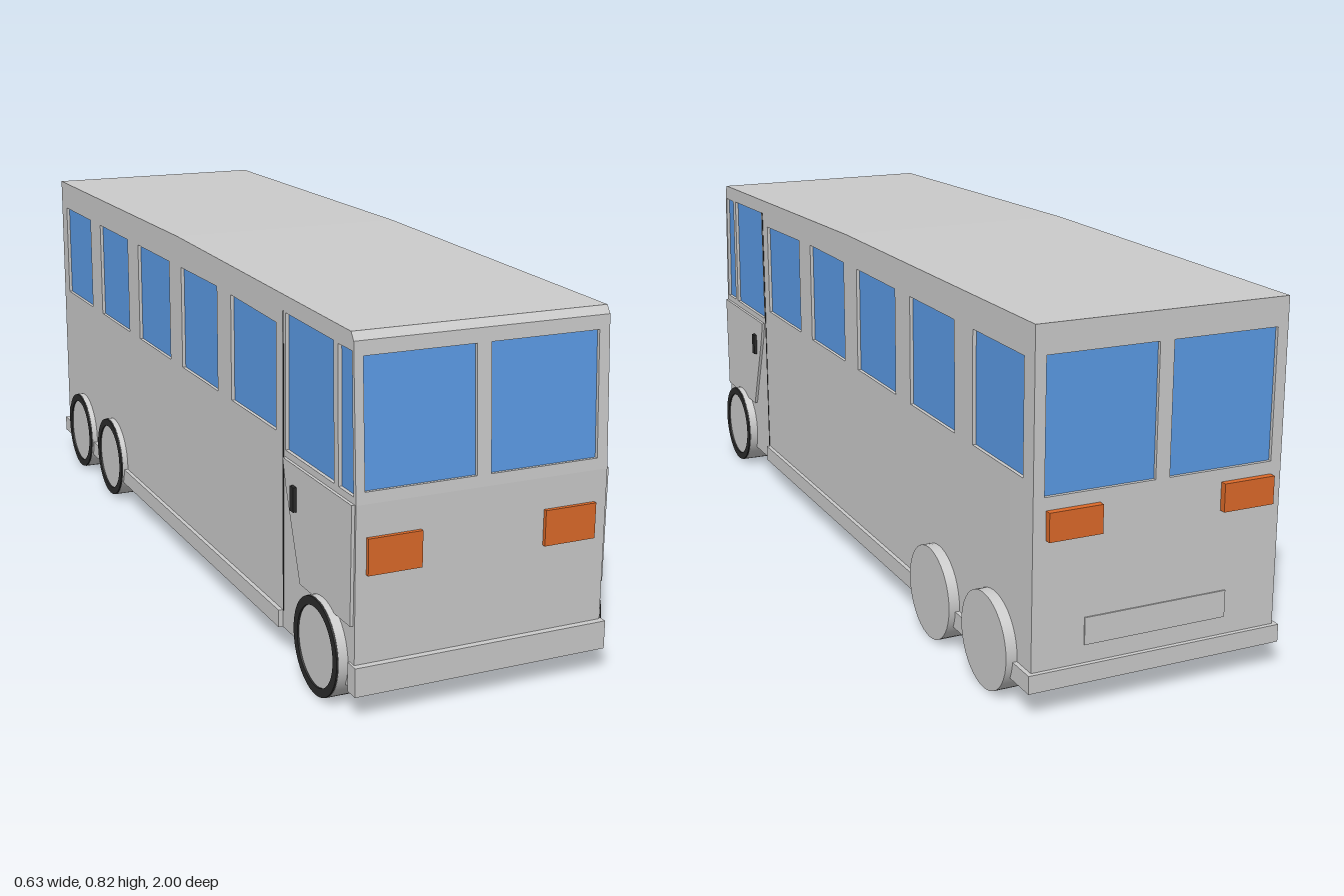
import * as THREE from 'three';

const T = 0.012; // wall thickness
const HALF = 0.29; // half body width
const mat = (color) => new THREE.MeshStandardMaterial({ color, flatShading: true });
const grey = mat(0xcccccc), blue = mat(0x5b9be6), orange = mat(0xdd6a2a), dark = mat(0x2b2b2b);
const smoothGrey = new THREE.MeshStandardMaterial({ color: 0xcccccc });

const poly = (pts) => new THREE.Shape(pts.map(([x, y]) => new THREE.Vector2(x, y)));
const rect = (a, b, lo, hi) => [[a, lo], [b, lo], [b, hi], [a, hi]];
const extrude = (shape, depth) =>
  new THREE.ExtrudeGeometry(shape, { depth, bevelEnabled: false, curveSegments: 32 });
// Extrude a (z, y) outline so that it spans x0..x1
const extrudeSide = (shape, x0, x1) => extrude(shape, x1 - x0).rotateY(-Math.PI / 2).translate(x1, 0, 0);

function holed(outline, holes) {
  const s = poly(outline);
  holes.forEach((h) => s.holes.push(new THREE.Path(h.map(([x, y]) => new THREE.Vector2(x, y)))));
  return s;
}

export function createModel() {
  const bus = new THREE.Group();
  bus.name = 'bus';
  const add = (name, geo, material = grey, parent = bus) => {
    const m = new THREE.Mesh(geo, material);
    m.name = name;
    parent.add(m);
    return m;
  };
  const box = (name, x0, x1, y0, y1, z0, z1, material) =>
    add(name, new THREE.BoxGeometry(x1 - x0, y1 - y0, z1 - z0)
      .translate((x0 + x1) / 2, (y0 + y1) / 2, (z0 + z1) / 2), material);

  // Core with roof and floor, behind the outer wall panels
  add('bodyCore', extrudeSide(poly([
    [-0.985 + T, 0.06], [0.985 - T, 0.06], [0.985 - T, 0.455], [0.955, 0.78], [0.967, 0.78],
    [0.955, 0.797], [0, 0.82], [-0.985 + T, 0.82],
  ]), -HALF + T, HALF - T));

  // Side walls with window openings
  const sideOutline = [
    [-0.985, 0.06], [0.985, 0.06], [0.985, 0.455], [0.967, 0.78], [0.955, 0.797], [0, 0.82], [-0.985, 0.82],
  ];
  const sideWindows = [
    [[0.34, 0.5], [0.595, 0.5], [0.595, 0.737], [0.34, 0.745]],
    rect(0.02, 0.255, 0.5, 0.748), rect(-0.3, -0.065, 0.5, 0.748),
    rect(-0.62, -0.385, 0.5, 0.748), rect(-0.94, -0.71, 0.5, 0.748),
    [[0.645, 0.47], [0.885, 0.47], [0.877, 0.762], [0.645, 0.768]],
    [[0.905, 0.47], [0.973, 0.47], [0.96, 0.76], [0.898, 0.76]],
  ];
  const doorPanel = [
    [0.645, 0.455], [0.66, 0.4], [0.735, 0.2], [0.978, 0.2], [0.98, 0.455],
  ];
  for (const s of [1, -1]) {
    const side = s > 0 ? 'left' : 'right';
    const slab = (name, shape, a, b, material) =>
      add(name, extrudeSide(shape, Math.min(s * a, s * b), Math.max(s * a, s * b)), material);
    slab(side + 'Wall', holed(sideOutline, sideWindows), HALF - T, HALF);
    sideWindows.forEach((w) => slab(side + 'Window', poly(w), HALF - T, HALF - T + 0.004, blue));
    // Door panel, its rear seam, handle and skirt
    slab(side + 'DoorPanel', poly(doorPanel), HALF - 0.002, HALF + 0.007);
    slab(side + 'DoorSeam', poly(rect(0.632, 0.636, 0.1, 0.77)), HALF - 0.002, HALF + 0.001, dark);
    slab(side + 'DoorHandle', poly(rect(0.7, 0.718, 0.355, 0.41)), HALF, HALF + 0.015, dark);
    slab(side + 'Skirt', poly(rect(-0.985, 0.63, 0.06, 0.1)), HALF - 0.002, HALF + 0.01);
  }

  // Front: flat lower panel and leaning windscreen panel
  box('frontPanel', -HALF + T, HALF - T, 0.06, 0.455, 0.985 - T, 0.985);
  const screen = new THREE.Group();
  screen.name = 'windscreen';
  screen.position.set(0, 0.455, 0.985);
  screen.rotation.x = -Math.atan2(0.018, 0.325);
  bus.add(screen);
  const screenPanes = [rect(-0.27, -0.02, 0.025, 0.295), rect(0.013, 0.265, 0.025, 0.295)];
  add('windscreenFrame', extrude(holed(rect(-HALF + T, HALF - T, 0, 0.3255), screenPanes), T).translate(0, 0, -T), grey, screen);
  screenPanes.forEach((p) => add('windscreenPane', extrude(poly(p), 0.004).translate(0, 0, -T), blue, screen));

  // Rear panel, windows and plate
  const rearPanes = [rect(-0.265, -0.02, 0.47, 0.757), rect(0.013, 0.265, 0.47, 0.757)];
  add('rearPanel', extrude(holed(rect(-HALF + T, HALF - T, 0.06, 0.82), rearPanes), T).translate(0, 0, -0.985));
  rearPanes.forEach((p) => add('rearWindow', extrude(poly(p), 0.004).translate(0, 0, -0.985 + T - 0.004), blue));
  box('rearPlate', -0.165, 0.17, 0.14, 0.2, -0.988, -0.98);

  // Lights and bumpers
  for (const [a, b] of [[-0.266, -0.145], [0.14, 0.261]]) {
    box('headlight', a, b, 0.308, 0.386, 0.98, 0.994, orange);
    box('tailLight', a, b, 0.38, 0.442, -1, -0.98, orange);
  }
  box('frontBumper', -0.295, 0.295, 0.055, 0.118, 0.965, 1);
  box('rearBumper', -0.3, 0.3, 0.06, 0.1, -0.995, -0.975);

  // Wheels: grey drum with a dark ring on one face (ringDir is its x direction)
  const ring = new THREE.Shape().absarc(0, 0, 0.106, 0, Math.PI * 2);
  ring.holes.push(new THREE.Path().absarc(0, 0, 0.087, 0, Math.PI * 2, true));
  const wheel = (name, x0, x1, z, ringDir) => {
    const g = new THREE.Group();
    g.name = name;
    g.position.set((x0 + x1) / 2, 0.108, z);
    const w = x1 - x0;
    add('drum', new THREE.CylinderGeometry(0.107, 0.107, w, 40).rotateZ(Math.PI / 2), smoothGrey, g);
    add('ring', extrude(ring, 0.022).rotateY(ringDir * Math.PI / 2)
      .translate(ringDir * (w / 2 - 0.018), 0, 0), dark, g);
    bus.add(g);
  };
  wheel('frontLeftWheel', 0.22, 0.311, 0.85, 1);
  wheel('frontRightWheel', -0.311, -0.22, 0.85, -1);
  for (const z of [-0.54, -0.817]) {
    wheel('rearLeftWheel', 0.205, 0.315, z, -1);
    wheel('rearRightWheel', -0.304, -0.215, z, -1);
  }
  return bus;
}
